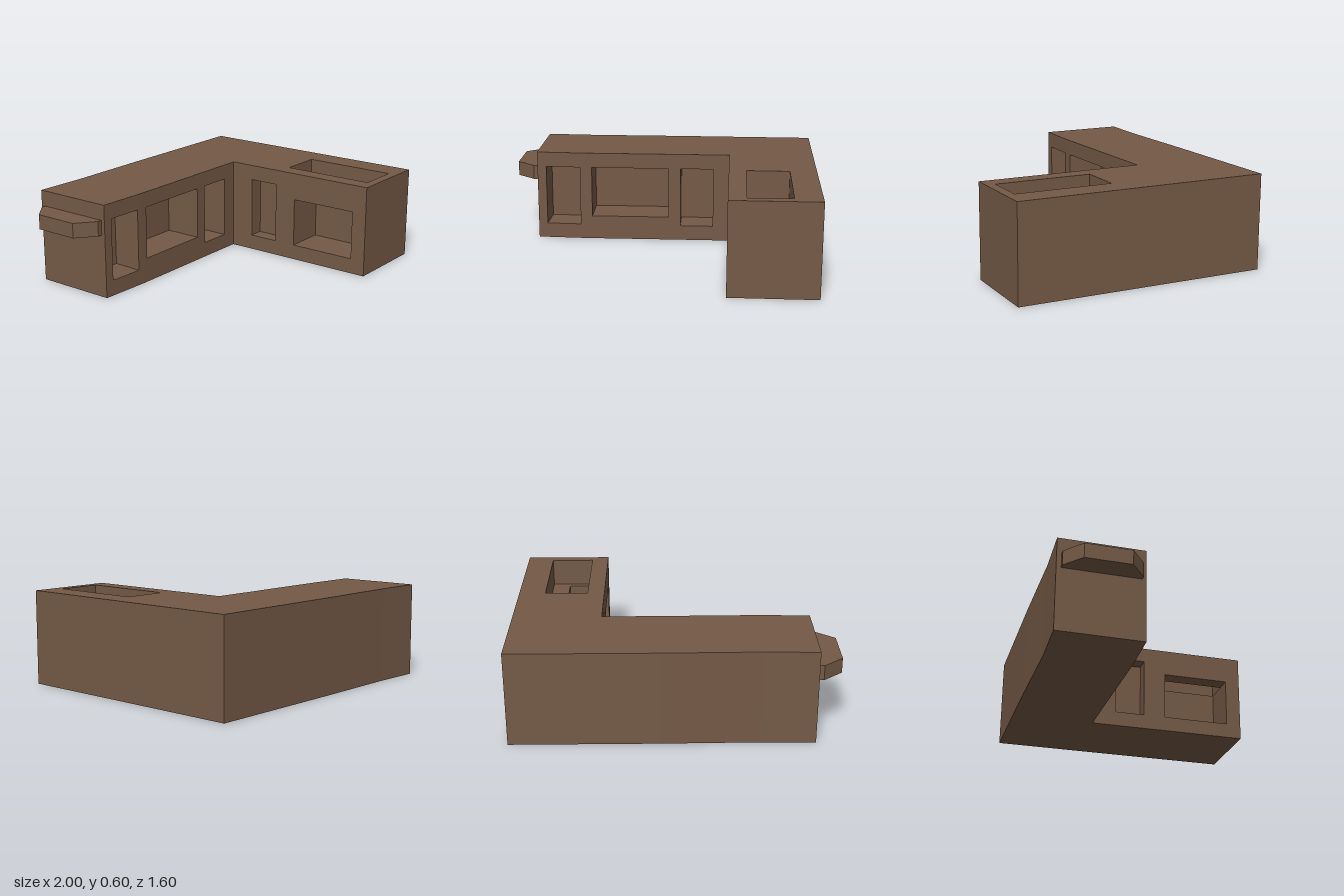
import * as THREE from 'three';

const H = 0.6; // block height
const material = new THREE.MeshStandardMaterial({ color: 0x755a46, flatShading: true });

// Plan of the L-shaped block as [x, z], counter-clockwise from above.
// The long arm bows very slightly at x = -0.52.
const plan = [
  [-0.85, -0.26], [-0.52, -0.25], [0.08, -0.257], [0.445, -0.26], [0.445, 0.8],
  [1, 0.8], [1, -0.8], [0.08, -0.798], [-0.52, -0.79], [-0.85, -0.8],
];

// Pockets per wall, keyed by the wall's first plan point: [u0, y0, u1, y1, depth, openCeiling]
const wallPockets = {
  0: [[0.06, 0.1, 0.29, 0.5, 0.2]],
  1: [[0.04, 0.16, 0.56, 0.5, 0.25]],
  2: [[0.04, 0.1, 0.26, 0.5, 0.2]],
  3: [[0.16, 0.1, 0.36, 0.5, 0.1], [0.51, 0.1, 0.96, 0.42, 0.27, true]],
};

const toPoints = (list) => list.map(([x, y]) => new THREE.Vector2(x, y));
const rect = (x0, y0, x1, y1) => [[x0, y0], [x1, y0], [x1, y1], [x0, y1]];

// Flat sheet facing +z, with optional holes
function sheet(outline, holes = []) {
  const shape = new THREE.Shape(toPoints(outline));
  holes.forEach((h) => shape.holes.push(new THREE.Path(toPoints(h))));
  return new THREE.ShapeGeometry(shape);
}

// Inside of a recess behind z = 0; skipped box faces (0..5 = +x -x +y -y +z -z) stay open
function liner(x0, y0, x1, y1, depth, skip = []) {
  const box = new THREE.BoxGeometry(x1 - x0, y1 - y0, depth);
  box.translate((x0 + x1) / 2, (y0 + y1) / 2, -depth / 2);
  const source = box.index.array;
  const index = [];
  for (let i = 0; i < source.length; i += 3) {
    const face = Math.floor(i / 6);
    if (face !== 4 && !skip.includes(face)) index.push(source[i], source[i + 2], source[i + 1]);
  }
  box.setIndex(index);
  box.clearGroups();
  const flat = box.toNonIndexed();
  flat.computeVertexNormals();
  return flat;
}

export function createModel() {
  const model = new THREE.Group();
  const add = (name, geometry, matrix) => {
    if (matrix) geometry.applyMatrix4(matrix);
    const mesh = new THREE.Mesh(geometry, material);
    mesh.name = name;
    model.add(mesh);
  };
  // Lay a sheet drawn in (x, -z) face up, or one drawn in (x, z) face down
  const faceUp = (y) => new THREE.Matrix4().makeRotationX(-Math.PI / 2).setPosition(0, y, 0);
  const faceDown = (y) => new THREE.Matrix4().makeRotationX(Math.PI / 2).setPosition(0, y, 0);

  // Upright walls with their pockets
  plan.forEach(([ax, az], i) => {
    const [bx, bz] = plan[(i + 1) % plan.length];
    const along = new THREE.Vector3(bx - ax, 0, bz - az);
    const length = along.length();
    along.normalize();
    const up = new THREE.Vector3(0, 1, 0);
    const out = new THREE.Vector3().crossVectors(along, up);
    const frame = new THREE.Matrix4().makeBasis(along, up, out).setPosition(ax, 0, az);
    const pockets = wallPockets[i] || [];
    add('wall', sheet(rect(0, 0, length, H), pockets.map((p) => rect(...p.slice(0, 4)))), frame);
    pockets.forEach(([u0, y0, u1, y1, depth, open]) =>
      add('wallPocket', liner(u0, y0, u1, y1, depth, open ? [2] : []), frame));
  });

  // Top with its pocket, and bottom
  const slot = [0.555, -0.74, 0.83, -0.13];
  add('top', sheet(plan.map(([x, z]) => [x, -z]), [rect(...slot)]), faceUp(H));
  add('bottom', sheet(plan), faceDown(0));
  add('topPocket', liner(...slot, 0.18, [5]), faceUp(H));

  // Pocket floor, notched where it opens into the side pocket below
  add('topPocketFloor', sheet([
    [0.83, -0.74], [0.83, -0.13], [0.555, -0.13], [0.555, -0.25],
    [0.715, -0.25], [0.715, -0.7], [0.555, -0.7], [0.555, -0.74],
  ]), faceUp(0.42));
  add('sidePocketCeiling', sheet(rect(0.445, 0.25, 0.555, 0.7)), faceDown(0.42));

  // Tapered tab on the end of the long arm
  const tab = new THREE.Shape(toPoints([
    [-0.85, 0.285], [-0.85, 0.77], [-0.88, 0.77], [-1, 0.67], [-1, 0.38], [-0.88, 0.285],
  ]));
  add('endTab', new THREE.ExtrudeGeometry(tab, { depth: 0.095, bevelEnabled: false }), faceUp(0.405));

  return model;
}
